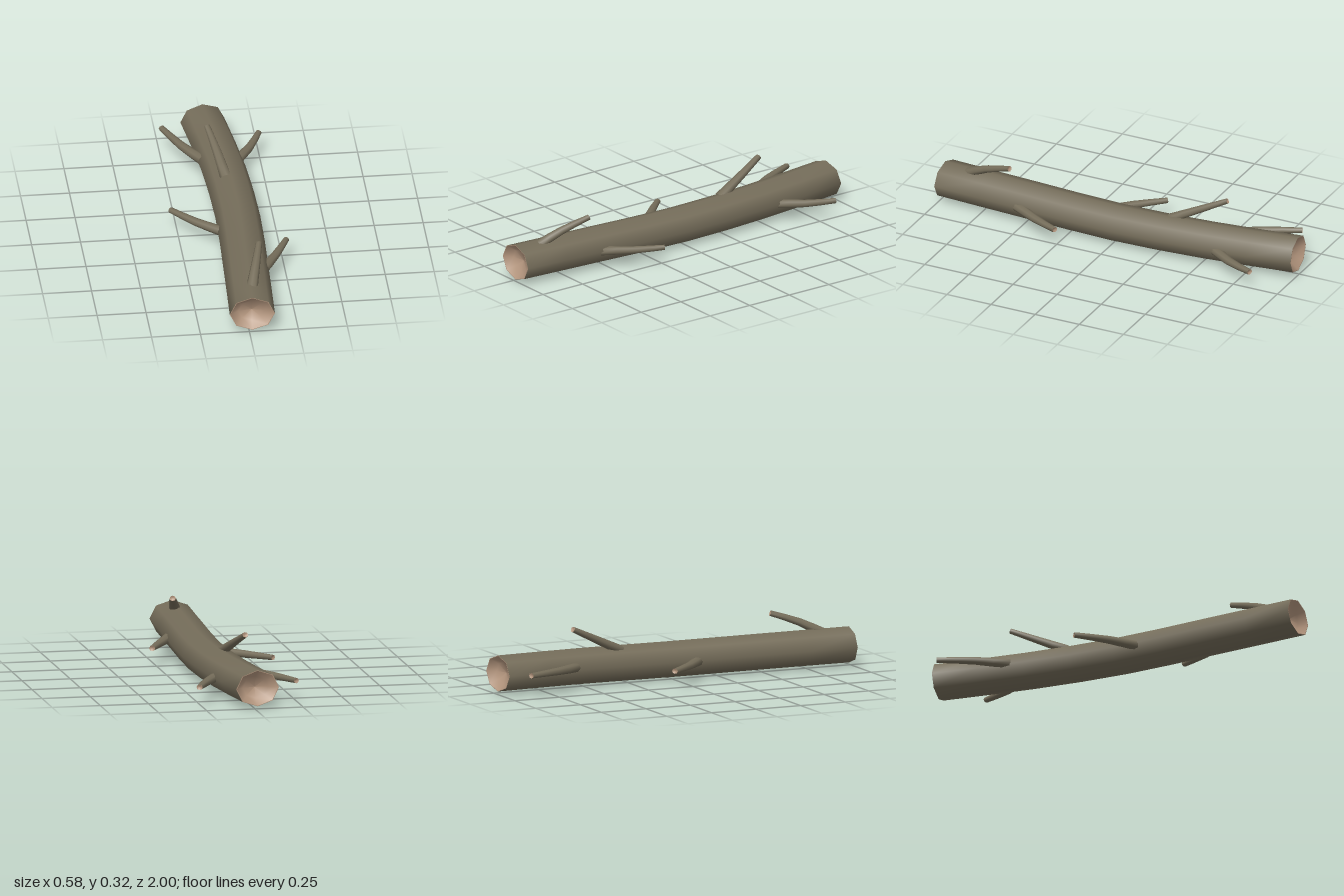
import * as THREE from 'three';

const SIDES = 8;
const V = (p) => new THREE.Vector3(...p);

// Skin a list of closed rings (each an array of SIDES points) with smooth normals.
function skin(rings, material, name) {
  const index = [];
  for (let i = 0; i < rings.length - 1; i++) {
    for (let j = 0; j < SIDES; j++) {
      const a = i * SIDES + j, b = i * SIDES + (j + 1) % SIDES;
      index.push(a, b, a + SIDES, b, b + SIDES, a + SIDES);
    }
  }
  const geometry = new THREE.BufferGeometry().setFromPoints(rings.flat());
  geometry.setIndex(index);
  geometry.computeVertexNormals();
  const mesh = new THREE.Mesh(geometry, material);
  mesh.name = name;
  return mesh;
}

// Rings perpendicular to a smooth path; width and height taper from start to end.
function ringsAlong(points, steps, start, end) {
  const curve = new THREE.CatmullRomCurve3(points.map(V));
  return Array.from({ length: steps + 1 }, (_, i) => {
    const k = i / steps, centre = curve.getPoint(k), t = curve.getTangent(k);
    const side = t.clone().cross(V([0, 1, 0])).normalize();
    const up = side.clone().cross(t);
    const w = THREE.MathUtils.lerp(start[0], end[0], k);
    const h = THREE.MathUtils.lerp(start[1], end[1], k);
    return Array.from({ length: SIDES }, (_, j) => {
      const a = j / SIDES * Math.PI * 2;
      return centre.clone().addScaledVector(side, w * Math.sin(a)).addScaledVector(up, h * Math.cos(a));
    });
  });
}

// Cut face: a thin flat rim around a shallow hollow.
function cutFace(ring, depth, material, name) {
  const group = new THREE.Group();
  group.name = name;
  const centre = ring.reduce((s, p) => s.add(p), V([0, 0, 0])).divideScalar(SIDES);
  const normal = ring[0].clone().sub(centre).cross(ring[2].clone().sub(centre)).normalize();
  const inset = (scale, sink) => ring.map((p) =>
    centre.clone().lerp(p, scale).addScaledVector(normal, -sink * depth));
  group.add(skin([inset(1, 0), inset(0.97, 0)], material, 'cutRim'));
  group.add(skin([inset(0.97, 0), inset(0.6, 0.7), inset(0.02, 1), inset(0, 1)], material, 'cutHollow'));
  return group;
}

export function createModel() {
  const bark = new THREE.MeshStandardMaterial({ color: 0x756d5a });
  bark.name = 'bark';
  const wood = new THREE.MeshStandardMaterial({ color: 0xb4967e });
  wood.name = 'cutWood';

  const log = new THREE.Group();
  log.name = 'log';

  // Gently bowed trunk with a cut face at each end
  const trunk = ringsAlong([
    [0.015, 0.107, 1], [0.037, 0.102, 0.5], [0.054, 0.097, 0],
    [0.036, 0.102, -0.5], [-0.017, 0.107, -0.985],
  ], 8, [0.115, 0.093], [0.114, 0.093]);
  log.add(skin(trunk, bark, 'trunk'));
  log.add(cutFace([...trunk[0]].reverse(), 0.05, wood, 'frontCut'));
  log.add(cutFace(trunk[trunk.length - 1], 0.05, wood, 'backCut'));

  // Broken twigs: base inside the trunk, bend, tip
  const twigs = {
    topFrontTwig: [[0.025, 0.17, 0.87], [0.06, 0.235, 0.74], [0.095, 0.285, 0.595]],
    topBackTwig: [[0.025, 0.17, -0.28], [-0.005, 0.24, -0.43], [-0.038, 0.307, -0.575]],
    leftFrontTwig: [[0.12, 0.098, 0.54], [0.2, 0.094, 0.4], [0.273, 0.097, 0.25]],
    leftBackTwig: [[0.1, 0.098, -0.56], [0.19, 0.094, -0.7], [0.255, 0.097, -0.845]],
    rightMiddleTwig: [[-0.02, 0.092, 0.14], [-0.16, 0.094, 0.02], [-0.278, 0.096, -0.115]],
    rightBackTwig: [[-0.06, 0.113, -0.57], [-0.155, 0.119, -0.72], [-0.235, 0.123, -0.9]],
  };
  for (const [name, path] of Object.entries(twigs)) {
    const rings = ringsAlong(path, 4, [0.031, 0.025], [0.016, 0.014]);
    log.add(skin(rings, bark, name));
    log.add(cutFace(rings[rings.length - 1], 0.005, wood, name + 'Cut'));
  }
  return log;
}
